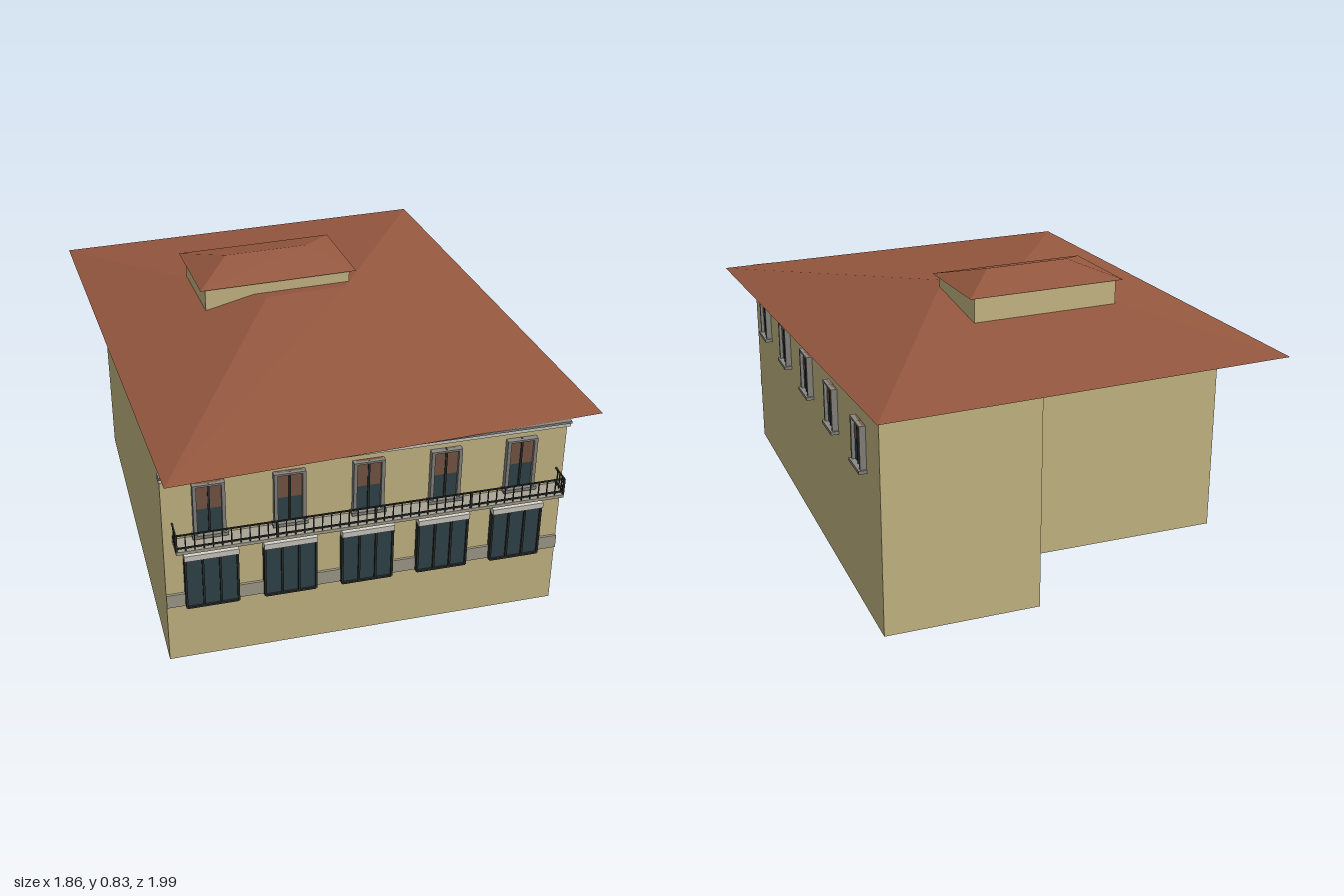
import * as THREE from 'three';

const mat = (color, side = THREE.FrontSide) =>
  new THREE.MeshStandardMaterial({ color, side, flatShading: true });
const wallMat = mat(0xd2c28c, THREE.DoubleSide);
const roofMat = mat(0x96583f, THREE.DoubleSide);
const glassMat = mat(0x33484f);
const blindMat = mat(0x7d5a48);
const frameMat = mat(0x8b8a84);
const darkMat = mat(0x2b2d2d);
const stoneMat = mat(0xaaa594);
const trimMat = mat(0xd8d5cc);

// Box given by its limits on each axis
function box(parent, name, material, [x0, x1], [y0, y1], [z0, z1]) {
  const m = new THREE.Mesh(new THREE.BoxGeometry(x1 - x0, y1 - y0, z1 - z0), material);
  m.position.set((x0 + x1) / 2, (y0 + y1) / 2, (z0 + z1) / 2);
  m.name = name;
  parent.add(m);
  return m;
}

function group(parent, name) {
  const g = new THREE.Group();
  g.name = name;
  parent.add(g);
  return g;
}

// Hipped roof: rectangle with a short ridge along x, closed by a flat soffit
function hipRoof(parent, name, halfW, halfD, ridge, y0, y1) {
  const a = [-halfW, y0, -halfD], b = [halfW, y0, -halfD];
  const c = [halfW, y0, halfD], d = [-halfW, y0, halfD];
  const l = [-ridge, y1, 0], r = [ridge, y1, 0];
  const tris = [d, c, r, d, r, l, c, b, r, b, a, l, b, l, r, a, d, l, a, b, c, a, c, d];
  const g = new THREE.BufferGeometry();
  g.setAttribute('position', new THREE.Float32BufferAttribute(tris.flat(), 3));
  g.computeVertexNormals();
  const m = new THREE.Mesh(g, roofMat);
  m.name = name;
  parent.add(m);
  return m;
}

// Upright wall panels following a loop of ground corners
function wallLoop(parent, name, corners, y0, y1) {
  const g = group(parent, name);
  corners.forEach(([x, z], i) => {
    const [x2, z2] = corners[(i + 1) % corners.length];
    const m = new THREE.Mesh(
      new THREE.PlaneGeometry(Math.hypot(x2 - x, z2 - z), y1 - y0), wallMat);
    m.position.set((x + x2) / 2, (y0 + y1) / 2, (z + z2) / 2);
    m.rotation.y = Math.atan2(z - z2, x2 - x);
    m.name = 'wallPanel';
    g.add(m);
  });
  return g;
}

// Tall window with a blind over its upper half, facing +z
function blindWindow(parent, name, y0, y1, w) {
  const g = group(parent, name);
  const h = w / 2, mid = (y0 + y1) / 2;
  box(g, 'windowGlass', glassMat, [-h, h], [y0, mid], [0, 0.008]);
  box(g, 'windowBlind', blindMat, [-h, h], [mid, y1], [0, 0.009]);
  for (const s of [-1, 1]) {
    box(g, 'windowJamb', frameMat, [s * h - 0.005, s * h + 0.005], [y0, y1], [0, 0.018]);
  }
  box(g, 'windowMullion', darkMat, [-0.003, 0.003], [y0, y1], [0, 0.012]);
  box(g, 'windowHead', frameMat, [-h - 0.005, h + 0.005], [y1 - 0.006, y1], [0, 0.018]);
  box(g, 'windowSill', frameMat, [-h - 0.01, h + 0.01], [y0 - 0.006, y0 + 0.004], [0, 0.024]);
  box(g, 'innerReveal', trimMat, [-h, h], [y0, y1], [-0.004, 0]);
  return g;
}

// Wide ground floor window with a shutter box on top, facing +z
function shopWindow(parent, name, y0, y1, w) {
  const g = group(parent, name);
  const h = w / 2;
  box(g, 'windowGlass', glassMat, [-h, h], [y0, y1 - 0.015], [0, 0.014]);
  for (const t of [-1, -0.33, 0.33, 1]) {
    box(g, 'windowMullion', darkMat, [t * h - 0.003, t * h + 0.003], [y0, y1 - 0.015], [0, 0.02]);
  }
  box(g, 'shutterBox', trimMat, [-h - 0.003, h + 0.003], [y1 - 0.018, y1], [0, 0.026]);
  box(g, 'windowSill', darkMat, [-h, h], [y0 - 0.003, y0 + 0.003], [0, 0.02]);
  box(g, 'innerReveal', stoneMat, [-h, h], [y0, y1], [-0.004, 0]);
  return g;
}

export function createModel() {
  const model = new THREE.Group();
  model.name = 'villa';

  // House body, turned on the plot, open underneath
  const house = group(model, 'house');
  house.rotation.y = -0.546;
  const L = -0.593, R = 0.577, F = 0.738, B = -0.782;
  wallLoop(house, 'outerWalls',
    [[L, F], [R, F], [R, B], [0.114, B], [0.114, -0.49], [L, -0.49]], 0, 0.645);

  // Front facade
  const front = group(house, 'frontFacade');
  front.position.z = F;
  for (let i = 0; i < 5; i++) {
    const x = -0.463 + i * 0.2255;
    blindWindow(front, 'upperWindow', 0.43, 0.594, 0.08).position.x = x;
    shopWindow(front, 'lowerWindow', 0.19, 0.373, 0.148).position.x = x;
  }
  box(front, 'stoneBand', stoneMat, [L, R], [0.19, 0.233], [-0.003, 0.007]);
  box(front, 'cornice', trimMat, [L - 0.005, R], [0.622, 0.636], [0, 0.022]);
  box(front, 'corniceLip', frameMat, [L - 0.005, R], [0.636, 0.643], [0, 0.03]);

  // Balcony with railing
  const balcony = group(front, 'balcony');
  const x0 = -0.567, x1 = 0.558, depth = 0.064;
  box(balcony, 'balconySlab', stoneMat, [x0, x1], [0.41, 0.42], [0, depth]);
  box(balcony, 'balconyMoulding', trimMat, [x0 + 0.01, x1 - 0.01], [0.403, 0.41], [0, depth - 0.012]);
  const t = 0.002, zr = depth - 0.004;
  for (const y of [0.43, 0.472]) {
    box(balcony, 'frontRail', darkMat, [x0, x1], [y - t, y + t], [zr - t, zr + t]);
    for (const x of [x0 + t, x1 - t]) {
      box(balcony, 'sideRail', darkMat, [x - t, x + t], [y - t, y + t], [0, zr]);
    }
  }
  const n = 44;
  for (let i = 0; i <= n; i++) {
    const x = x0 + t + (x1 - x0 - 2 * t) * i / n;
    const r = i % 11 === 0 ? 0.003 : 0.0015;
    box(balcony, 'baluster', darkMat, [x - r, x + r], [0.42, 0.472], [zr - r, zr + r]);
  }
  for (const x of [x0 + t, x1 - t]) {
    for (const z of [0.015, 0.03, 0.045]) {
      box(balcony, 'sideBaluster', darkMat,
        [x - 0.0015, x + 0.0015], [0.42, 0.472], [z - 0.0015, z + 0.0015]);
    }
  }

  // Side windows
  for (let i = 0; i < 5; i++) {
    const w = blindWindow(house, 'sideWindow', 0.445, 0.577, 0.082);
    w.position.set(R, 0, 0.55 - i * 0.29);
    w.rotation.y = Math.PI / 2;
  }

  // Main roof and the raised lantern
  const top = group(model, 'roof');
  top.rotation.y = -0.4915;
  hipRoof(top, 'mainRoof', 0.635, 0.787, 0.13, 0.645, 0.755);
  const lantern = group(top, 'lantern');
  lantern.position.set(-0.079, 0, -0.179);
  const w = 0.237, d = 0.135;
  wallLoop(lantern, 'lanternWalls', [[-w, d], [w, d], [w, -d], [-w, -d]], 0.68, 0.79);
  hipRoof(lantern, 'lanternRoof', 0.255, 0.15, 0.135, 0.79, 0.832);

  return model;
}
